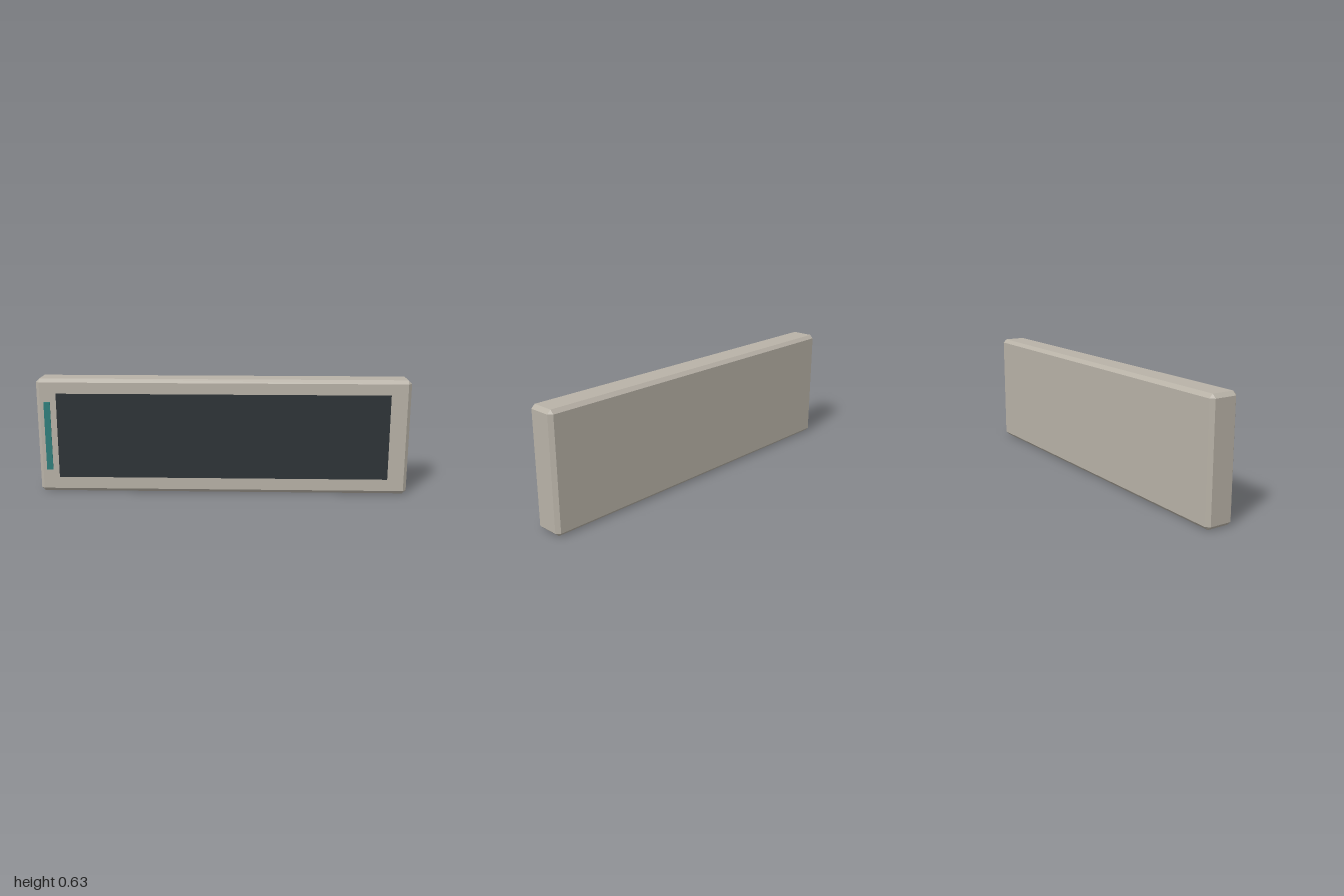
import * as THREE from 'three';
import { ConvexGeometry } from 'three/addons/geometries/ConvexGeometry.js';

// Box with all twelve edges cut at 45 degrees
function chamferedBox(w, h, d, c) {
  const points = [];
  const half = [w / 2, h / 2, d / 2];
  for (const sx of [-1, 1]) for (const sy of [-1, 1]) for (const sz of [-1, 1]) {
    const s = [sx, sy, sz];
    // one point per face meeting at this corner
    for (let face = 0; face < 3; face++) {
      points.push(new THREE.Vector3(...half.map((v, i) => s[i] * (i === face ? v : v - c))));
    }
  }
  return new ConvexGeometry(points);
}

function addPart(group, name, geometry, color, x, y, z) {
  const mesh = new THREE.Mesh(geometry, new THREE.MeshStandardMaterial({ color, flatShading: true }));
  mesh.name = name;
  mesh.position.set(x, y, z);
  group.add(mesh);
}

export function createModel() {
  const group = new THREE.Group();
  group.name = 'displayPanel';

  // Casing
  addPart(group, 'casing', chamferedBox(2, 0.626, 0.156, 0.019), 0xb8b2a7, 0, 0.313, -0.001);

  // Dark screen, almost flush with the casing front
  addPart(group, 'screen', new THREE.PlaneGeometry(1.786, 0.464), 0x2d3337, 0, 0.315, 0.078);

  // Raised accent strip beside the screen
  addPart(group, 'accentStrip', new THREE.BoxGeometry(0.034, 0.374, 0.008), 0x2f7f7c, -0.943, 0.313, 0.077);

  return group;
}
